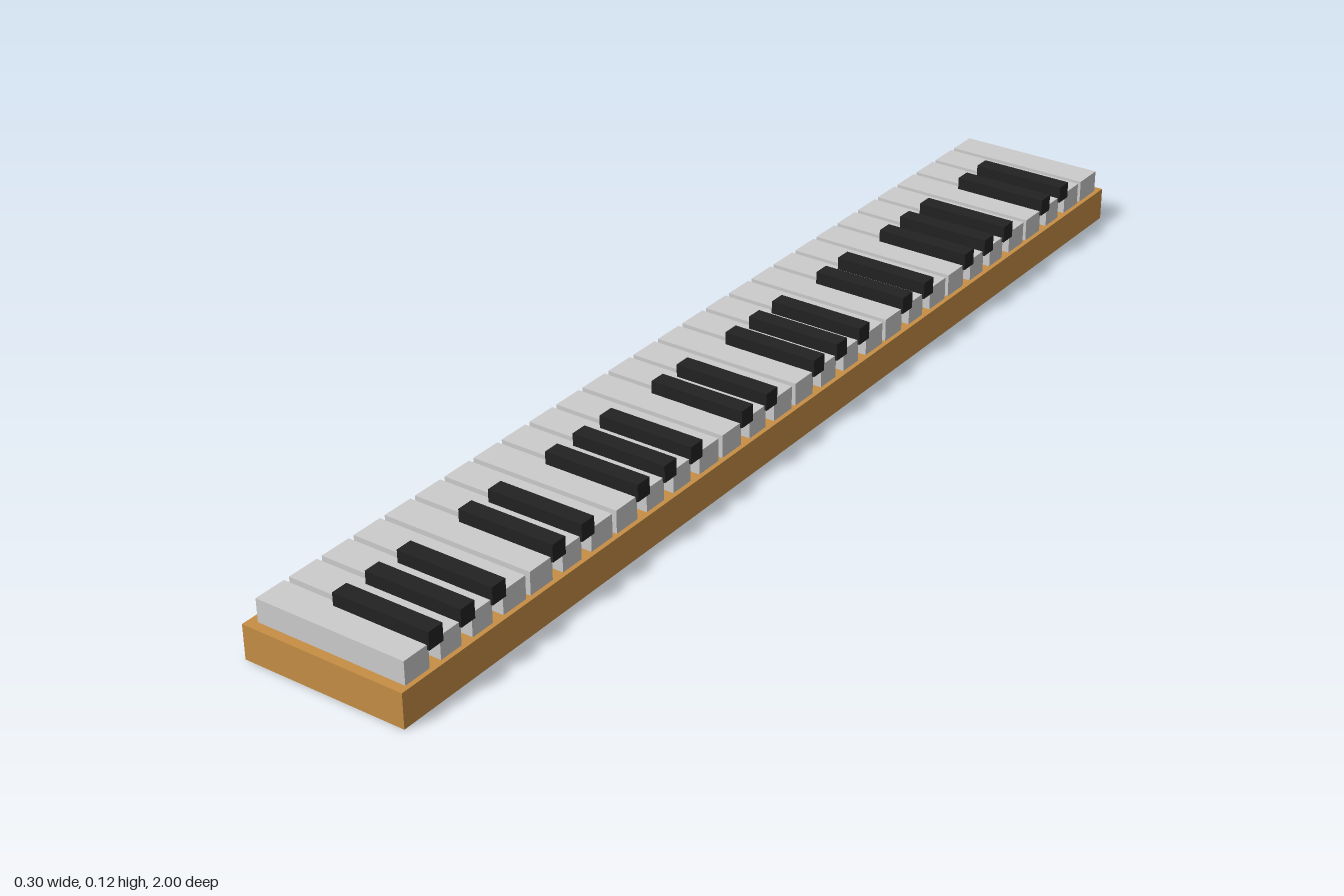
import * as THREE from 'three';

const WHITES = 29, PITCH = 0.0682, GAP = 0.0105;
const START = -WHITES * PITCH / 2;
// white-key boundaries that carry a black key
const SHARPS = [2, 3, 5, 6, 7, 9, 10, 12, 13, 14, 16, 17, 19, 20, 21, 23, 24, 26, 27, 28];
const X0 = -0.133, X1 = 0.14, NOTCH_X = -0.03, NOTCH = 0.012;

export function createModel() {
  const wood = new THREE.MeshStandardMaterial({ color: 0xc68e45 });
  const ivory = new THREE.MeshStandardMaterial({ color: 0xcccccc });
  const ebony = new THREE.MeshStandardMaterial({ color: 0x222222 });
  wood.name = 'wood';
  ivory.name = 'ivory';
  ebony.name = 'ebony';

  const group = new THREE.Group();
  group.name = 'keyboard';

  const box = (name, mat, x0, x1, y0, y1, z0, z1) => {
    const mesh = new THREE.Mesh(new THREE.BoxGeometry(x1 - x0, y1 - y0, z1 - z0), mat);
    mesh.position.set((x0 + x1) / 2, (y0 + y1) / 2, (z0 + z1) / 2);
    mesh.name = name;
    group.add(mesh);
  };

  // wooden base
  box('base', wood, -0.148, 0.148, 0, 0.06, -1, 1);

  // white keys, narrowed beside each black key
  const sharpAt = new Set(SHARPS);
  for (let k = 0; k < WHITES; k++) {
    const a = START + k * PITCH, b = a + PITCH;
    const z0 = a + GAP / 2, z1 = b - GAP / 2;
    const pts = [[X0, z1]];
    if (sharpAt.has(k + 1)) pts.push([NOTCH_X, z1], [NOTCH_X, b - NOTCH], [X1, b - NOTCH]);
    else pts.push([X1, z1]);
    if (sharpAt.has(k)) pts.push([X1, a + NOTCH], [NOTCH_X, a + NOTCH], [NOTCH_X, z0]);
    else pts.push([X1, z0]);
    pts.push([X0, z0]);
    const shape = new THREE.Shape(pts.map(([x, z]) => new THREE.Vector2(x, -z)));
    const geo = new THREE.ExtrudeGeometry(shape, { depth: 0.04, bevelEnabled: false });
    geo.rotateX(-Math.PI / 2);
    const key = new THREE.Mesh(geo, ivory);
    key.position.y = 0.06;
    key.name = 'whiteKey';
    group.add(key);
  }

  // black keys
  for (const k of SHARPS) {
    const z = START + k * PITCH;
    box('blackKey', ebony, -0.031, 0.144, 0.092, 0.122, z - 0.015, z + 0.015);
  }
  return group;
}
